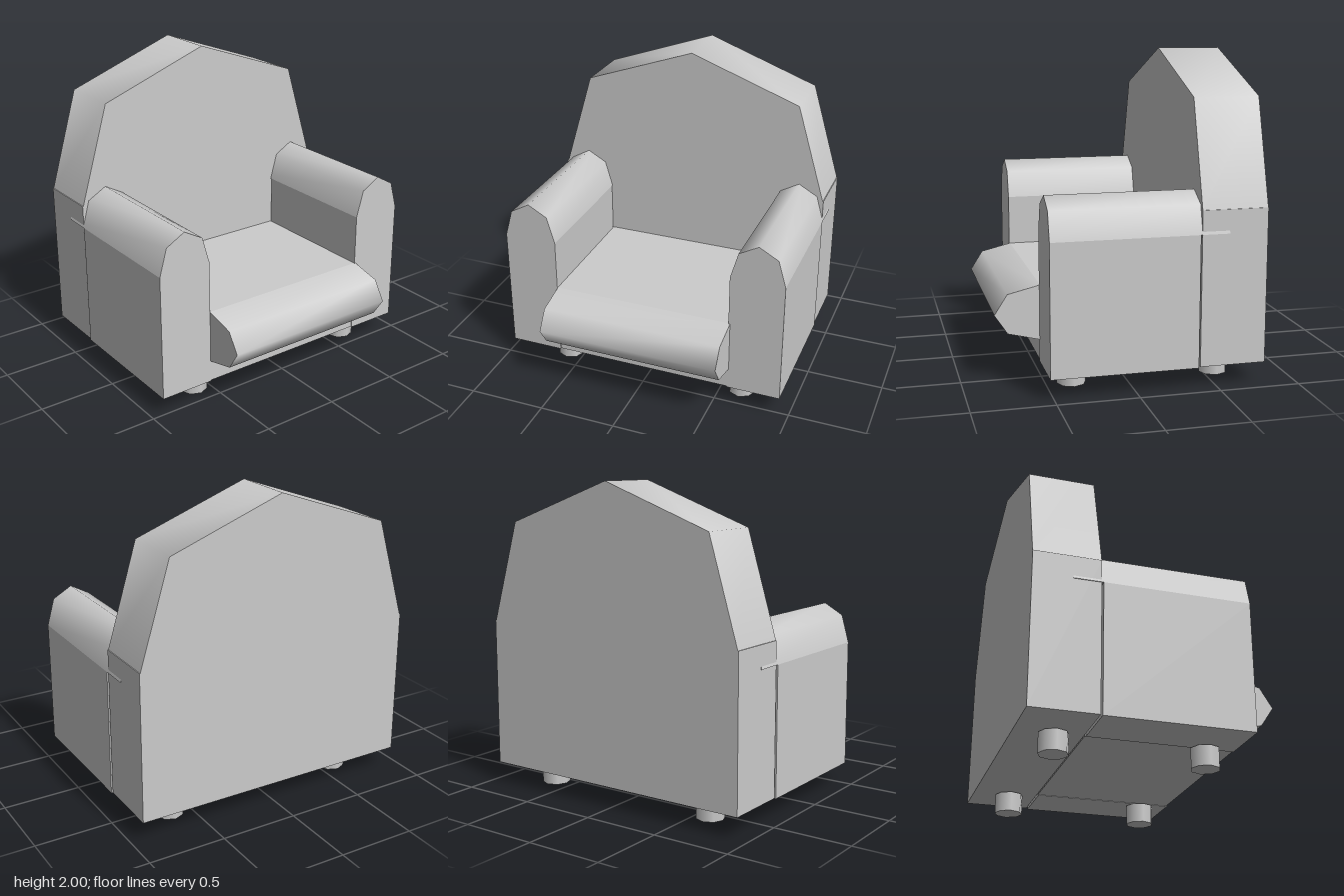
import * as THREE from 'three';
import { toCreasedNormals } from 'three/addons/utils/BufferGeometryUtils.js';

const material = new THREE.MeshStandardMaterial({ color: 0xcccccc });

function add(group, name, geometry, x = 0, y = 0, z = 0) {
  const mesh = new THREE.Mesh(geometry, material);
  mesh.name = name;
  mesh.position.set(x, y, z);
  group.add(mesh);
  return mesh;
}

// Box given by its lower and upper limits on each axis
function addBlock(group, name, [x0, x1], [y0, y1], [z0, z1]) {
  return add(group, name, new THREE.BoxGeometry(x1 - x0, y1 - y0, z1 - z0),
    (x0 + x1) / 2, (y0 + y1) / 2, (z0 + z1) / 2);
}

// Faceted profile pulled along z, smooth around the curve and sharp at the caps
function roll(points, depth) {
  const shape = new THREE.Shape(points.map(([x, y]) => new THREE.Vector2(x, y)));
  const geometry = new THREE.ExtrudeGeometry(shape, { depth, bevelEnabled: false });
  return toCreasedNormals(geometry, 1.3);
}

export function createModel() {
  const chair = new THREE.Group();
  chair.name = 'armchair';

  // Backrest: square lower part with a peaked crown
  addBlock(chair, 'backrestBase', [-0.935, 0.935], [0.135, 1.09], [-0.8, -0.39]);
  const crown = [[-0.93, 1.09], [0.93, 1.09], [0.735, 1.735], [0, 2], [-0.735, 1.735]];
  add(chair, 'backrestCrown', roll(crown, 0.41), 0, 0, -0.8);

  // Arms: block with a faceted roll that runs on into the backrest
  const armTop = [[-0.175, 0.945], [0.175, 0.945], [0.125, 1.12], [0, 1.19], [-0.125, 1.12]];
  for (const [side, s] of [['left', 1], ['right', -1]]) {
    const arm = new THREE.Group();
    arm.name = side + 'Arm';
    arm.position.x = s * 0.765;
    addBlock(arm, 'armPanel', [-0.175, 0.175], [0.13, 0.945], [-0.38, 0.525]);
    add(arm, 'armRoll', roll(armTop, 1.085), 0, 0, -0.56);
    chair.add(arm);
  }

  // Seat block and the padded roll along its front edge
  addBlock(chair, 'seat', [-0.588, 0.597], [0.133, 0.613], [-0.385, 0.52]);
  const lip = [[-0.52, 0.27], [-0.52, 0.613], [-0.72, 0.565], [-0.8, 0.44], [-0.72, 0.32]];
  const frontRoll = add(chair, 'seatFrontRoll', roll(lip, 1.188), 0.6, 0, 0);
  frontRoll.rotation.y = -Math.PI / 2;
  // After the turn the profile's -x points to -z, so it is mirrored back to the front
  frontRoll.rotation.y = Math.PI / 2;
  frontRoll.position.x = -0.588;

  // Feet
  for (const x of [-0.6, 0.64])
    for (const z of [0.34, -0.57])
      add(chair, 'foot', new THREE.CylinderGeometry(0.09, 0.09, 0.125, 8), x, 0.0625, z);

  return chair;
}
